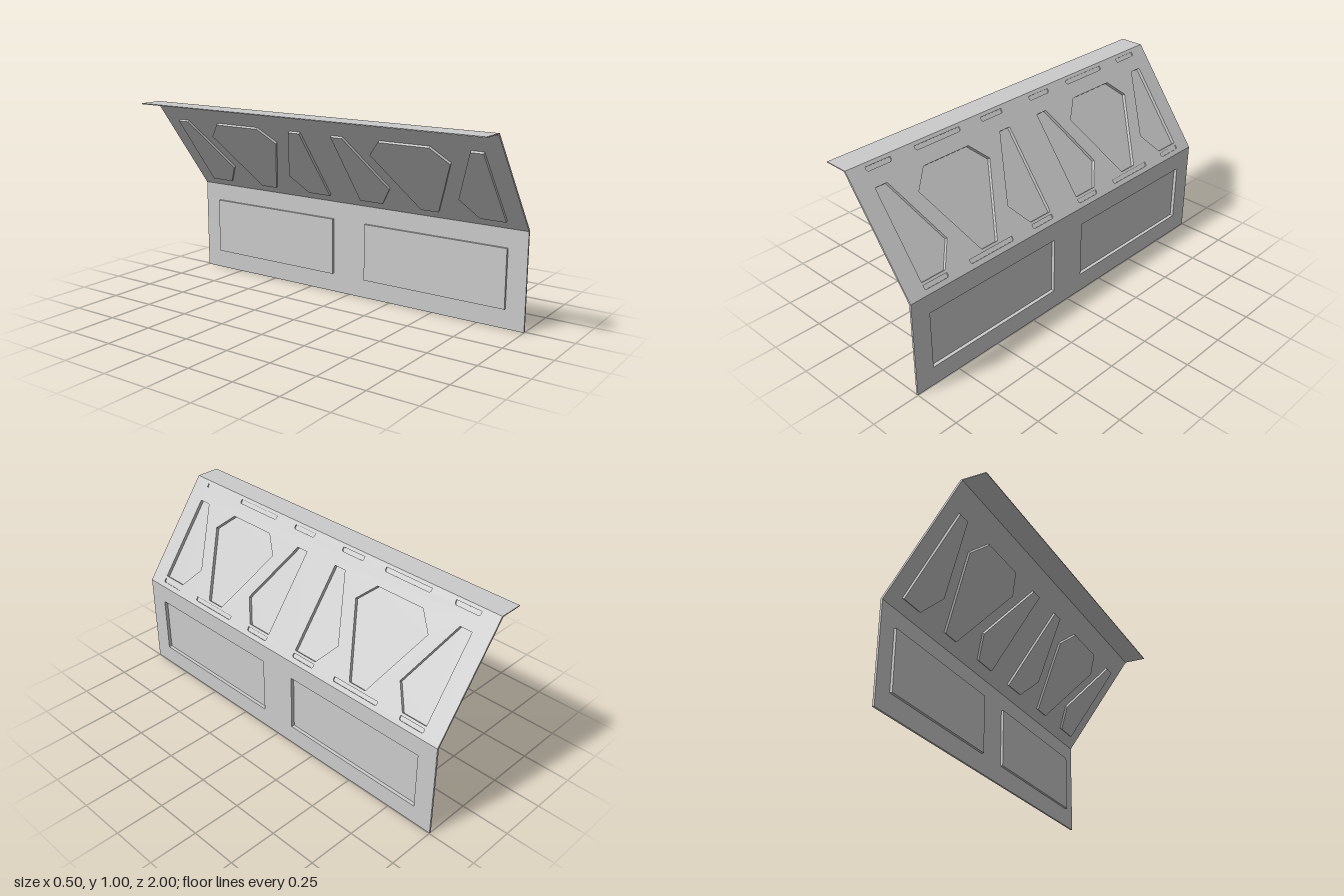
import * as THREE from 'three';

const T = 0.01;        // sheet thickness
const PAN = 0.018;     // depth of the pressed panels
const SLOT = 0.006;    // depth of the narrow slots
const grey = new THREE.MeshStandardMaterial({ color: 0xcccccc, flatShading: true });
const thin = new THREE.MeshStandardMaterial({ color: 0xcccccc, flatShading: true, side: THREE.DoubleSide });

const toPoints = (list) => list.map(([x, y]) => new THREE.Vector2(x, y));

function addMesh(parent, name, geometry, material = grey) {
  const mesh = new THREE.Mesh(geometry, material);
  mesh.name = name;
  parent.add(mesh);
  return mesh;
}

// Flat plate between two depths behind the outer face
function plate(points, from, to, holes = []) {
  const shape = new THREE.Shape(points);
  shape.holes = holes.map((h) => new THREE.Path(h));
  const geometry = new THREE.ExtrudeGeometry(shape, { depth: to - from, bevelEnabled: false });
  return geometry.translate(0, 0, -to);
}

// Open band of side walls that follows an outline
function sideWalls(points, depth) {
  const pos = [];
  points.forEach((a, i) => {
    const b = points[(i + 1) % points.length];
    pos.push(a.x, a.y, 0, a.x, a.y, -depth, b.x, b.y, -depth);
    pos.push(a.x, a.y, 0, b.x, b.y, -depth, b.x, b.y, 0);
  });
  const geometry = new THREE.BufferGeometry();
  geometry.setAttribute('position', new THREE.Float32BufferAttribute(pos, 3));
  geometry.computeVertexNormals();
  return geometry;
}

const rect = (x0, x1, y0, y1) => [[x0, y0], [x1, y0], [x1, y1], [x0, y1]];

// Sheet with pressed recesses; local z points out of the face
function pressedSheet(name, height, pans, slots) {
  const group = new THREE.Group();
  group.name = name;
  const holes = [];
  for (const centre of [-0.5, 0.5]) {
    const place = (list) => toPoints(list.map(([x, y]) => [x + centre, y]));
    for (const pan of pans) {
      const p = place(pan);
      holes.push(p);
      addMesh(group, 'recessFloor', plate(p, PAN, PAN + 0.005));
      addMesh(group, 'recessWalls', sideWalls(p, PAN + 0.005), thin);
    }
    for (const slot of slots) {
      const p = place(slot);
      holes.push(p);
      addMesh(group, 'slotFloor', plate(p, SLOT, T));
    }
  }
  addMesh(group, name + 'Sheet', plate(toPoints(rect(-1, 1, 0, height)), 0, T, holes));
  return group;
}

export function createModel() {
  const model = new THREE.Group();
  model.name = 'barrierPanel';

  // Upright lower wall with two rectangular recesses
  const wall = pressedSheet('lowerWall', 0.5, [rect(-0.4, 0.4, 0.1, 0.402)], []);
  wall.rotation.y = Math.PI / 2;
  wall.position.x = 0.248;
  model.add(wall);

  // Sloping upper sheet: a hexagon between two mirrored side pieces, per half
  const side = [[0.405, 0.06], [0.405, 0.509], [0.34, 0.509], [0.19, 0.178], [0.27, 0.06]];
  const mirrored = side.map(([x, y]) => [-x, y]);
  const middle = [[-0.049, 0.06], [0.049, 0.06], [0.216, 0.415], [0.135, 0.509],
    [-0.135, 0.509], [-0.216, 0.415]];
  // Slots with clipped lower corners above and below the recesses
  const slots = [];
  for (const y of [0.025, 0.585]) {
    for (const [x, half] of [[-0.337, 0.068], [0, 0.134], [0.337, 0.068]]) {
      slots.push([[x - half + 0.006, y], [x + half - 0.006, y], [x + half, y + 0.006],
        [x + half, y + 0.021], [x - half, y + 0.021], [x - half, y + 0.006]]);
    }
  }
  const slope = pressedSheet('slopedSheet', 0.624, [side, mirrored, middle], slots);
  slope.rotation.set(0, Math.PI / 2, Math.atan2(0.373, 0.5), 'ZYX');
  slope.position.set(0.248, 0.5, 0);
  model.add(slope);

  // Flat flange along the top
  const flange = addMesh(model, 'topFlange', new THREE.BoxGeometry(0.125, 0.005, 2));
  flange.position.set(-0.1875, 0.9975, 0);

  return model;
}
